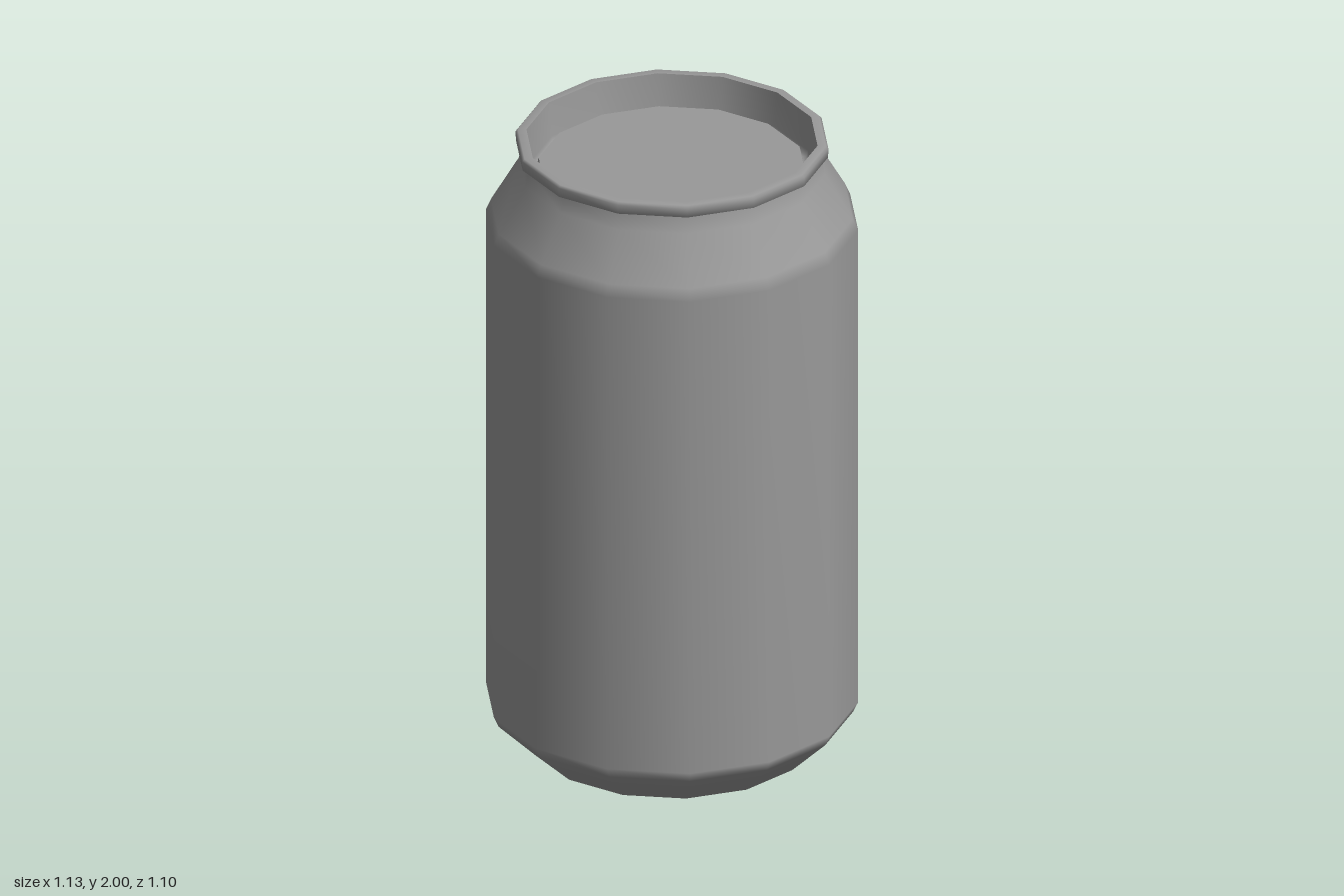
import * as THREE from 'three';

const SIDES = 14;
const material = new THREE.MeshStandardMaterial({ color: 0x999999, side: THREE.DoubleSide });

// Smooth ring of the can; each profile runs [radius, height] and edges between rings stay sharp
function ring(name, profile) {
  const points = profile.map(([r, y]) => new THREE.Vector2(r, y));
  const mesh = new THREE.Mesh(new THREE.LatheGeometry(points, SIDES, Math.PI / 2), material);
  mesh.name = name;
  return mesh;
}

export function createModel() {
  const can = new THREE.Group();
  can.name = 'drinkCan';
  can.add(
    // Hollow dome under the can
    ring('baseDome', [[0, 0.19], [0.15, 0.18], [0.28, 0.14], [0.36, 0.08], [0.403, 0]]),
    // Standing edge, chamfer, wall, shoulder and neck
    ring('body', [
      [0.403, 0], [0.43, 0.002], [0.548, 0.117], [0.563, 0.15],
      [0.563, 1.725], [0.547, 1.762], [0.463, 1.905], [0.453, 1.957],
    ]),
    // Rolled lip
    ring('rim', [[0.453, 1.957], [0.472, 1.963], [0.473, 1.992], [0.466, 2], [0.44, 2]]),
    // Groove around the raised lid panel
    ring('lidGroove', [[0.44, 2], [0.43, 1.89], [0.424, 1.872], [0.412, 1.872], [0.403, 1.908]]),
    ring('lid', [[0.403, 1.908], [0, 1.908]]),
  );
  return can;
}
